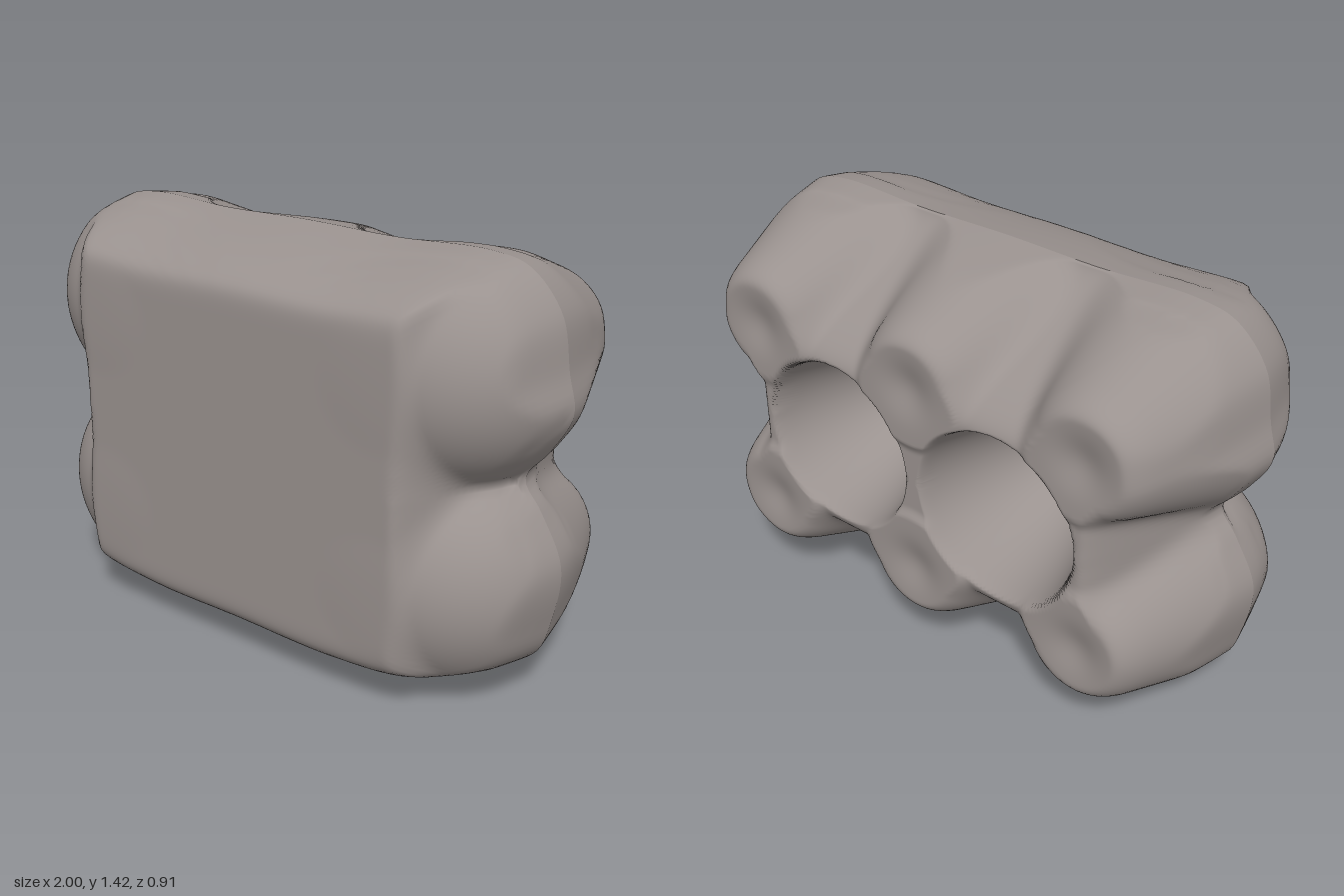
import * as THREE from 'three';

const SEAM_Z = 0.05, MID_Y = 0.735, SEGMENTS = 256;
const material = new THREE.MeshStandardMaterial({ color: 0x9a928f, side: THREE.DoubleSide });

// Smooth minimum and maximum, used to blend the moulded forms
function smin(a, b, k) {
  const h = Math.max(k - Math.abs(a - b), 0) / k;
  return Math.min(a, b) - h * h * k * 0.25;
}
const smax = (a, b, k) => -smin(-a, -b, k);
const step = THREE.MathUtils.smoothstep;

// Seam outline: right half listed from the top middle to the bottom middle, then mirrored
function makeOutline() {
  const half = [[0, 1.415], [0.35, 1.41], [0.7, 1.42], [0.83, 1.39], [0.94, 1.27], [0.975, 1.1],
    [0.998, 0.98], [0.93, 0.85], [0.85, 0.74], [0.91, 0.65], [0.99, 0.49], [0.97, 0.3],
    [0.92, 0.17], [0.7, 0.05], [0.4, 0.01], [0, 0.01]];
  const mirrored = half.slice(1, -1).reverse().map(([x, y]) => [-x, y]);
  const points = [...half, ...mirrored].reverse().map(([x, y]) => new THREE.Vector3(x, y, 0));
  return new THREE.CatmullRomCurve3(points, true, 'centripetal').getSpacedPoints(SEGMENTS).slice(0, SEGMENTS);
}

function distanceToEdge(outline, x, y) {
  let best = Infinity;
  for (const p of outline) best = Math.min(best, (p.x - x) ** 2 + (p.y - y) ** 2);
  return Math.sqrt(best);
}

// Rounded wall rising from the seam to full depth
function wall(edge, depth, width, power) {
  return depth * (1 - Math.pow(1 - Math.min(edge / width, 1), power));
}

// Lid: flat panel with a rounded lobe at each corner
function lidDepth(x, y, edge) {
  const panel = 0.405 * step(0.85 - Math.abs(x), 0, 0.22);
  const r2 = ((Math.abs(x) - 0.58) / 0.42) ** 2 + ((Math.abs(y - MID_Y) - 0.34) / 0.4) ** 2;
  const lobe = 0.39 * Math.sqrt(Math.max(1 - r2, 0));
  const body = smin(smax(panel, lobe, 0.08), 0.41, 0.02);
  return smin(body, wall(edge, 0.42, 0.24, 3), 0.03);
}

// Tray: six tapered cups, a raised middle, and two deep round hollows between the cups
function trayDepth(x, y, edge) {
  const ax = Math.abs(x), ay = Math.abs(y - MID_Y);
  let depth = 0.49 * step(0.7 - ay, 0, 0.41) * step(0.9 - ax, 0, 0.25);
  let dent = 0;
  for (const cx of [0, 0.65]) {
    const r = Math.hypot(ax - cx, ay - 0.345);
    const cup = smin(0.505, 0.51 - (r - 0.18) * 2.5, 0.1);
    depth = smax(depth, cup, 0.12);
    dent += 0.025 * Math.exp(-((r / 0.09) ** 2));
  }
  depth = smin(Math.min(depth, 0.505) - dent, wall(edge, 0.52, 0.21, 2.2), 0.02);
  const r = Math.hypot(ax - 0.33, ay);
  const hollow = -0.02 + 0.52 * Math.pow(r / 0.3, 2.5);
  return edge > 0.05 ? smin(depth, hollow, 0.04) : depth;
}

// Shell made of rings running from the middle out to the seam
function makeShell(name, outline, rings, depthAt, direction) {
  const positions = [], index = [];
  for (let i = 0; i <= rings; i++) {
    const scale = 1 - Math.pow(1 - i / rings, 1.3);
    for (const p of outline) {
      const x = p.x * scale, y = MID_Y + (p.y - MID_Y) * scale;
      const depth = i === rings ? 0 : depthAt(x, y, distanceToEdge(outline, x, y));
      positions.push(x, y, SEAM_Z + direction * Math.max(depth, -0.02));
    }
  }
  for (let i = 0; i < rings; i++) {
    for (let j = 0; j < SEGMENTS; j++) {
      const k = (j + 1) % SEGMENTS;
      const a = i * SEGMENTS + j, b = i * SEGMENTS + k, c = a + SEGMENTS, d = b + SEGMENTS;
      index.push(...(direction > 0 ? [a, c, d] : [a, d, c]));
      if (i > 0) index.push(...(direction > 0 ? [a, d, b] : [a, b, d]));
    }
  }
  const geometry = new THREE.BufferGeometry();
  geometry.setAttribute('position', new THREE.Float32BufferAttribute(positions, 3));
  geometry.setIndex(index);
  geometry.computeVertexNormals();
  const mesh = new THREE.Mesh(geometry, material);
  mesh.name = name;
  return mesh;
}

export function createModel() {
  const group = new THREE.Group();
  group.name = 'eggCarton';
  const outline = makeOutline();
  group.add(makeShell('lid', outline, 60, lidDepth, 1));
  group.add(makeShell('cupTray', outline, 110, trayDepth, -1));

  // Closing button on the lower lid wall
  const button = new THREE.Mesh(new THREE.SphereGeometry(1, 32, 20), material);
  button.name = 'closingButton';
  button.scale.set(0.16, 0.05, 0.12);
  button.position.set(0, 0.075, 0.18);
  group.add(button);

  // Small closing tab at the seam
  const tab = new THREE.Mesh(new THREE.BoxGeometry(0.06, 0.02, 0.12), material);
  tab.name = 'closingTab';
  tab.position.set(0, 0.045, -0.05);
  tab.rotation.x = -0.4;
  group.add(tab);
  return group;
}
